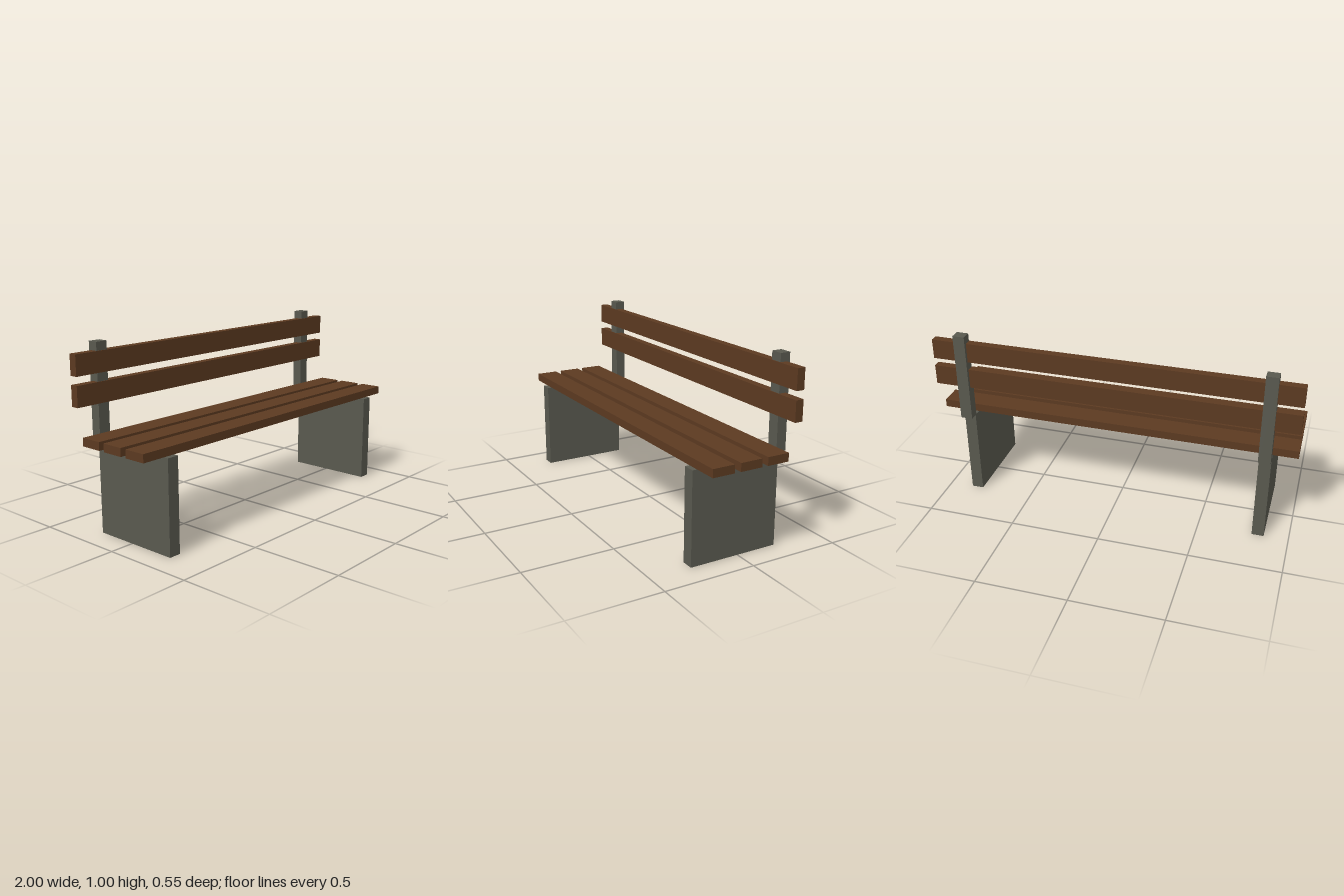
import * as THREE from 'three';

export function createModel() {
  const bench = new THREE.Group();
  bench.name = 'bench';

  const wood = new THREE.MeshStandardMaterial({ color: 0x5c3a21 });
  wood.name = 'brown wood';
  const concrete = new THREE.MeshStandardMaterial({ color: 0x59594f });
  concrete.name = 'grey concrete';

  // Box given by its centre x, width, and y and z ranges
  function addBox(name, material, x, width, [y0, y1], [z0, z1]) {
    const mesh = new THREE.Mesh(new THREE.BoxGeometry(width, y1 - y0, z1 - z0), material);
    mesh.position.set(x, (y0 + y1) / 2, (z0 + z1) / 2);
    mesh.name = name;
    bench.add(mesh);
  }

  // Slab legs and the posts that carry the backrest
  for (const [side, sign] of [['left', 1], ['right', -1]]) {
    addBox(`${side}Leg`, concrete, sign * 0.833, 0.066, [0, 0.5], [-0.227, 0.273]);
    addBox(`${side}BackPost`, concrete, sign * 0.833, 0.066, [0.5, 1], [-0.273, -0.217]);
  }

  // Three seat planks, front to back
  [0.19, 0.033, -0.123].forEach((z, i) =>
    addBox(`seatPlank${i + 1}`, wood, 0, 2, [0.502, 0.546], [z - 0.061, z + 0.061]));

  // Two backrest planks, let into the posts
  [0.745, 0.9].forEach((y, i) =>
    addBox(`backPlank${i + 1}`, wood, 0, 2, [y - 0.055, y + 0.055], [-0.256, -0.212]));

  return bench;
}
